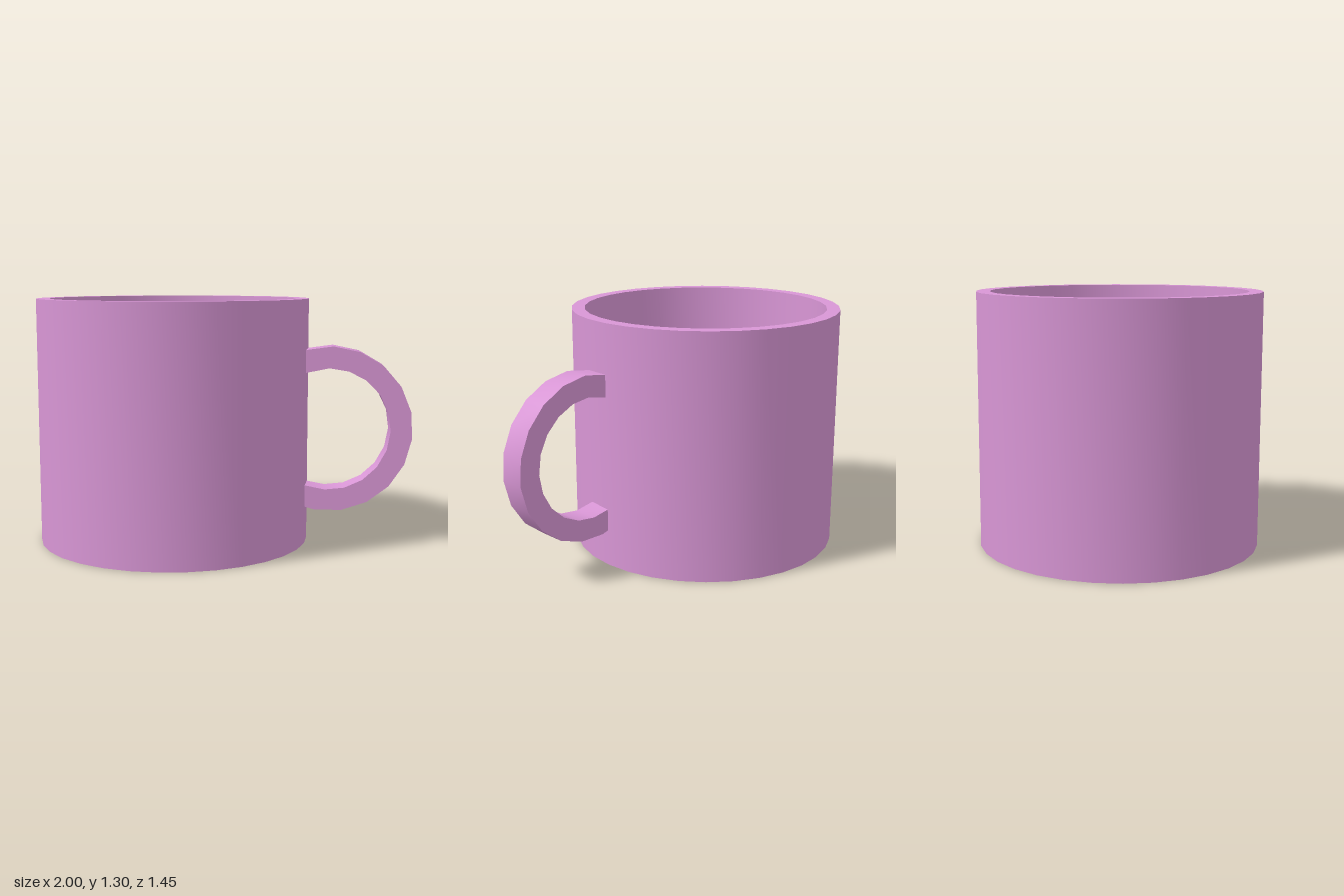
import * as THREE from 'three';
import { toCreasedNormals } from 'three/addons/utils/BufferGeometryUtils.js';

const rad = THREE.MathUtils.degToRad;

// Points along an arc, clockwise from a start angle in degrees
function arc(cx, cy, r, start, step, count) {
  return Array.from({ length: count }, (_, i) => {
    const a = rad(start - step * i);
    return new THREE.Vector2(cx + r * Math.cos(a), cy + r * Math.sin(a));
  });
}

export function createModel() {
  const group = new THREE.Group();
  group.name = 'mug';
  const material = new THREE.MeshStandardMaterial({ color: 0xd896d5 });

  const add = (name, geometry) => {
    const mesh = new THREE.Mesh(toCreasedNormals(geometry, rad(35)), material);
    mesh.name = name;
    group.add(mesh);
    return mesh;
  };

  // Hollow cup: outer wall, flat rim, inner wall and floor
  const R = 0.725, r = 0.655, height = 1.3, floor = 0.07;
  const profile = [[0, 0], [R, 0], [R, height], [r, height], [r, floor], [0, floor]]
    .map(([x, y]) => new THREE.Vector2(x, y));
  add('cup', new THREE.LatheGeometry(profile, 32)).position.x = -0.275;

  // C-shaped handle, cut off flat at the cup wall
  const cx = 0.56, cy = 0.617, cut = 0.436;
  const shape = new THREE.Shape([
    new THREE.Vector2(cut, 1.035),
    ...arc(cx, cy, 0.438, 87.5, 18.7, 11),
    new THREE.Vector2(cut, 0.2),
    new THREE.Vector2(cut, 0.315),
    ...arc(cx, cy, 0.323, 90, 18.3, 11).reverse(),
    new THREE.Vector2(cut, 0.915),
  ]);
  add('handle', new THREE.ExtrudeGeometry(shape, { depth: 0.14, bevelEnabled: false }));

  return group;
}
